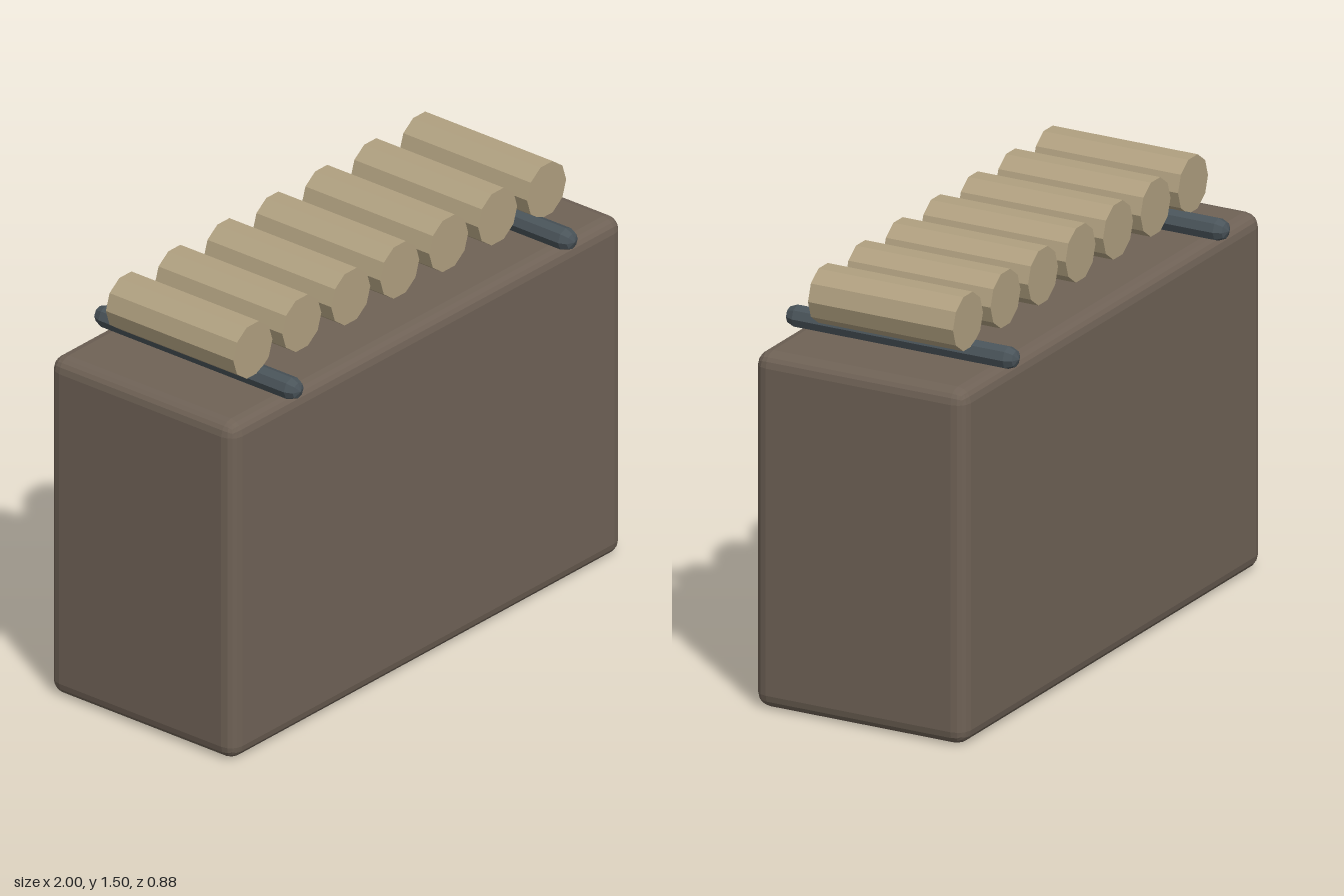
import * as THREE from 'three';
import { RoundedBoxGeometry } from 'three/addons/geometries/RoundedBoxGeometry.js';

const flat = (color) => new THREE.MeshStandardMaterial({ color, flatShading: true });

export function createModel() {
  const model = new THREE.Group();
  const add = (name, geometry, material, x, y) => {
    const mesh = new THREE.Mesh(geometry, material);
    mesh.name = name;
    mesh.position.set(x, y, 0);
    model.add(mesh);
  };

  // Body: block with softly rounded edges
  add('body', new RoundedBoxGeometry(2, 1.25, 0.8, 2, 0.05), flat(0x6f6256), 0, 0.625);

  // Two round-ended rails running front to back
  const rail = new THREE.CapsuleGeometry(0.04, 0.8, 2, 8).rotateX(Math.PI / 2);
  const railMaterial = flat(0x4a545a);
  for (const [side, x] of [['right', -0.7], ['left', 0.7]]) add(side + 'Rail', rail, railMaterial, x, 1.28);

  // Row of seven ten-sided rollers, with a corner pointing to each side
  const roller = new THREE.CylinderGeometry(0.1, 0.1, 0.55, 10, 1, false, Math.PI / 2).rotateX(Math.PI / 2);
  const rollerMaterial = flat(0xb0a080);
  for (let i = 0; i < 7; i++) add('roller' + (i + 1), roller, rollerMaterial, -0.75 + i * 0.25, 1.4);

  return model;
}
